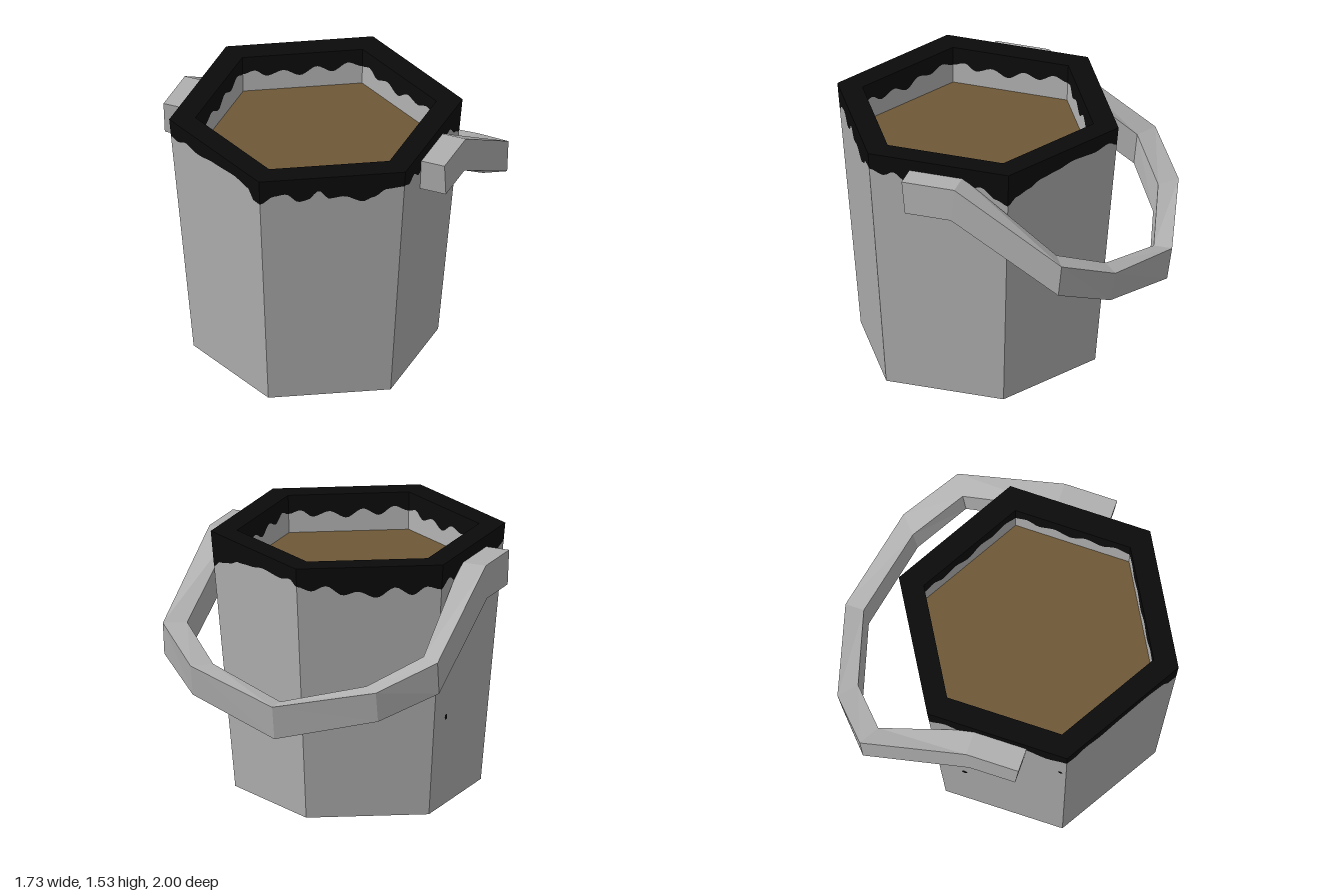
import * as THREE from 'three';

const H = 1.53, CZ = 0.16, STEPS = 40;
const V = (x, y, z) => new THREE.Vector3(x, y, z);

// Point on a hexagonal ring, u in 0..6 (one unit per side, starting at the front corner)
function hex(u, r, y) {
  const k = Math.floor(u), t = u - k;
  const a = k * Math.PI / 3, b = (k + 1) * Math.PI / 3;
  return V(r * (Math.sin(a) * (1 - t) + Math.sin(b) * t), y,
    CZ + r * (Math.cos(a) * (1 - t) + Math.cos(b) * t));
}
const outerR = y => 0.70 + 0.14 * y / H;
const innerR = y => 0.68 + 0.01 * (y - 1.3) / 0.23;

// Heights of the paint edge, side by side, as [position along the side, y]
const outerDrips = [
  [[0, 1.37], [0.1, 1.42], [0.18, 1.43], [0.27, 1.37], [0.33, 1.38], [0.41, 1.44], [0.48, 1.38], [0.58, 1.39], [0.72, 1.345], [0.79, 1.37], [0.88, 1.42]],
  [[0, 1.43], [0.1, 1.40], [0.17, 1.43], [0.26, 1.38], [0.34, 1.41], [0.45, 1.37], [0.58, 1.42], [0.7, 1.39], [0.8, 1.42], [0.92, 1.35]],
  [[0, 1.32], [0.08, 1.36], [0.2, 1.38], [0.3, 1.41], [0.45, 1.42], [0.6, 1.44], [0.8, 1.43], [0.92, 1.45]],
  [[0, 1.42], [0.1, 1.39], [0.2, 1.42], [0.32, 1.36], [0.42, 1.38], [0.55, 1.34], [0.68, 1.40], [0.8, 1.35], [0.9, 1.40]],
  [[0, 1.38], [0.12, 1.42], [0.25, 1.37], [0.4, 1.42], [0.52, 1.38], [0.7, 1.43], [0.85, 1.39]],
  [[0, 1.42], [0.07, 1.41], [0.17, 1.44], [0.3, 1.42], [0.5, 1.44], [0.72, 1.45], [0.87, 1.43], [0.93, 1.37]],
];
const innerDrips = [0, 1, 2, 3, 4, 5].map(k => [
  [0, 1.42], [0.12, 1.45], [0.25, 1.40 + 0.01 * (k % 3)], [0.38, 1.44], [0.52, 1.39], [0.66, 1.43], [0.8, 1.40], [0.9, 1.44]]);

function edgeY(drips, u) {
  const k = Math.floor(u) % 6, t = u - Math.floor(u);
  const pts = [...drips[k], [1, drips[(k + 1) % 6][0][1]]];
  const i = pts.findIndex((p, j) => j > 0 && t <= p[0]);
  const [a, b] = [pts[i - 1], pts[i]];
  return THREE.MathUtils.lerp(a[1], b[1], THREE.MathUtils.smoothstep(t, a[0], b[0]));
}

// Collects triangles into flat-faced geometry
function geometryFrom(points) {
  const g = new THREE.BufferGeometry().setFromPoints(points);
  g.computeVertexNormals();
  return g;
}
const quad = (a, b, c, d) => [a, b, c, a, c, d];

// Band between two closed rings
function band(lower, upper, steps = STEPS) {
  const pts = [];
  for (let i = 0; i < 6 * steps; i++) {
    const u = i / steps, v = (i + 1) / steps;
    pts.push(...quad(lower(u), lower(v), upper(v), upper(u)));
  }
  return geometryFrom(pts);
}

// Bar swept through four-cornered sections
function bar(sections) {
  const pts = [], n = sections.length;
  for (let i = 0; i < n - 1; i++) {
    const s = sections[i], e = sections[i + 1];
    for (let j = 0; j < 4; j++) {
      const m = (j + 1) % 4;
      pts.push(...quad(s[j], s[m], e[m], e[j]));
    }
  }
  pts.push(...quad(...[...sections[0]].reverse()), ...quad(...sections[n - 1]));
  return geometryFrom(pts);
}

export function createModel() {
  const model = new THREE.Group();
  const material = (name, color) => new THREE.MeshStandardMaterial({ name, color, flatShading: true });
  const metal = material('grey metal', 0xb0b0b0);
  const paint = material('black paint', 0x0b0b0b);
  const filling = material('brown filling', 0x6e5838);
  const add = (name, geometry, mat) => {
    const mesh = new THREE.Mesh(geometry, mat);
    mesh.name = name;
    model.add(mesh);
    return mesh;
  };

  // Rings that separate the bucket's surfaces, from the base up and over the rim
  const base = u => hex(u, outerR(0), 0);
  const outerEdge = u => { const y = edgeY(outerDrips, u); return hex(u, outerR(y), y); };
  const outerTop = u => hex(u, outerR(H), H);
  const innerTop = u => hex(u, innerR(H), H);
  const innerEdge = u => { const y = edgeY(innerDrips, u); return hex(u, innerR(y), y); };
  const level = u => hex(u, innerR(1.31), 1.31);

  add('bucketBase', band(() => V(0, 0, CZ), base, 1), metal);
  add('outerWall', band(base, outerEdge), metal);
  add('outerDrips', band(outerEdge, outerTop), paint);
  add('rim', band(outerTop, innerTop, 1), paint);
  add('innerDrips', band(innerTop, innerEdge), paint);
  add('innerWall', band(innerEdge, level), metal);
  add('filling', band(level, () => V(0, 1.31, CZ), 1), filling);

  // Small paint spots on the side wall
  for (const [y, z, r] of [[0.55, -0.06, 0.017], [1.2, 0.53, 0.014]]) {
    const spot = add('paintSpot', new THREE.CircleGeometry(r, 8), paint);
    spot.position.set(-outerR(y) * Math.cos(Math.PI / 6) - 0.003, y, z);
    spot.rotation.y = -Math.PI / 2;
  }

  // Handle half: outer x, inner x, then y and z of top and bottom, outer and inner
  const half = [
    { xo: 0.865, xi: 0.70, top: 1.46, low: 1.26, zto: 0.335, zti: 0.335, zlo: 0.315, zli: 0.315 },
    { xo: 0.865, xi: 0.71, top: 1.46, low: 1.26, zto: 0.02, zti: 0.02, zlo: 0.04, zli: 0.04 },
    { xo: 0.86, xi: 0.74, top: 1.07, low: 0.88, zto: -0.62, zti: -0.55, zlo: -0.60, zli: -0.53 },
    { xo: 0.58, xi: 0.48, top: 0.92, low: 0.74, zto: -0.85, zti: -0.76, zlo: -0.82, zli: -0.73 },
    { xo: 0, xi: 0, top: 0.80, low: 0.60, zto: -1, zti: -0.89, zlo: -0.97, zli: -0.86 },
  ];
  const section = (s, m) => [
    V(m * s.xo, s.top, s.zto), V(m * s.xi, s.top, s.zti),
    V(m * s.xi, s.low, s.zli), V(m * s.xo, s.low, s.zlo)];
  const sections = [
    ...half.map(s => section(s, 1)),
    ...half.slice(0, -1).reverse().map(s => section(s, -1))];
  // Section corners run counter-clockwise seen along the sweep's far end
  const outward = sections.map(s => [...s].reverse());
  add('handle', bar(isOutward(sections) ? sections : outward), metal);
  return model;
}

// True when the corner order makes the bar's faces point outward
function isOutward(sections) {
  const [a, b] = sections;
  const normal = b[1].clone().sub(a[0]).cross(a[1].clone().sub(a[0])).negate();
  const centre = a.reduce((c, p) => c.add(p), V(0, 0, 0)).divideScalar(4);
  return normal.dot(a[0].clone().add(a[1]).divideScalar(2).sub(centre)) > 0;
}
